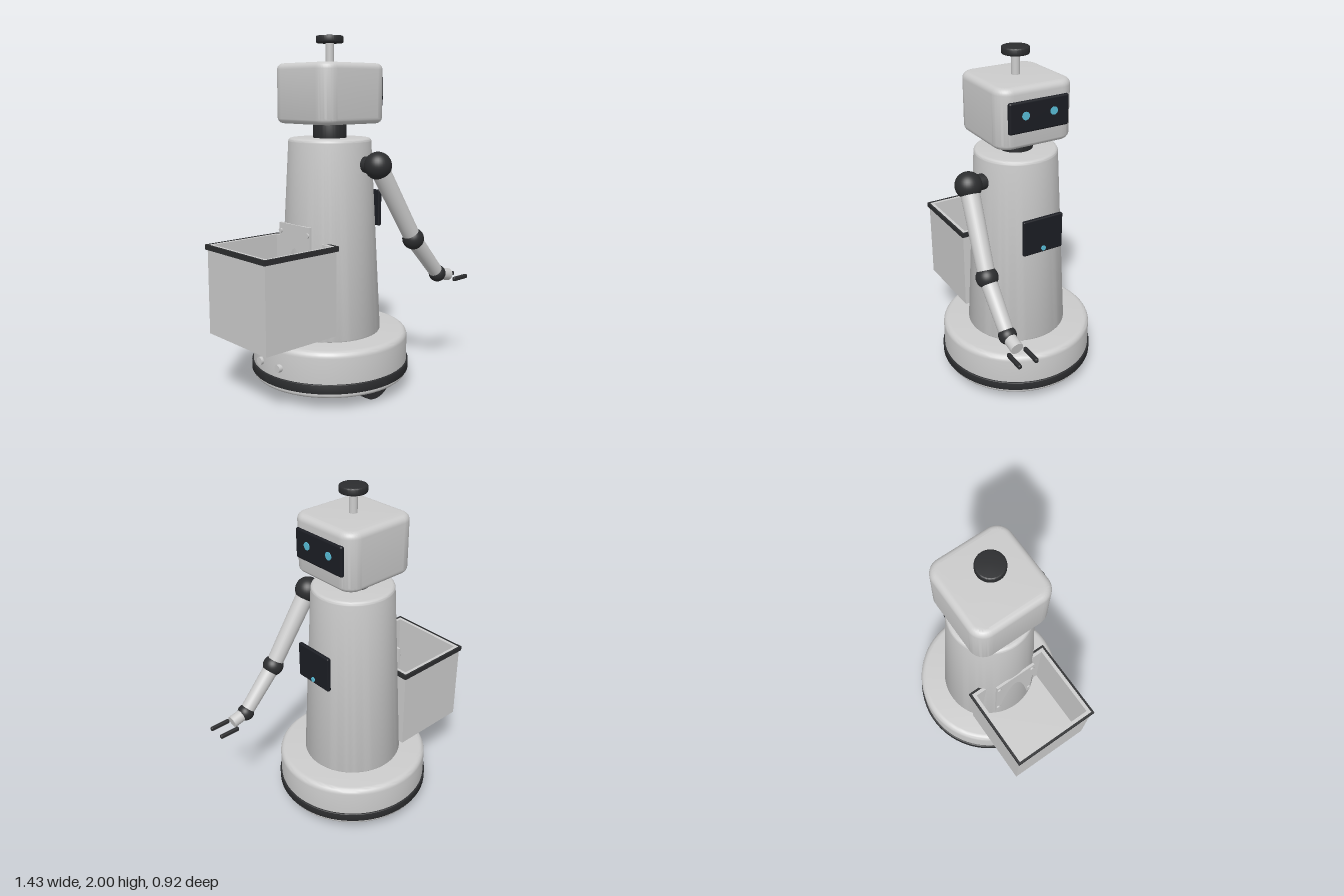
import * as THREE from 'three';
import { toCreasedNormals } from 'three/addons/utils/BufferGeometryUtils.js';
import { RoundedBoxGeometry } from 'three/addons/geometries/RoundedBoxGeometry.js';

const CX = -0.04; // vertical axis of the robot; it faces +x
const grey = new THREE.MeshStandardMaterial({ color: 0xcccccc });
const dark = new THREE.MeshStandardMaterial({ color: 0x2c2d2f });
const screen = new THREE.MeshStandardMaterial({ color: 0x1b1d23 });
const glow = new THREE.MeshStandardMaterial({ color: 0x58bcd6 });
const V = (x, y, z) => new THREE.Vector3(x, y, z);

export function createModel() {
  const model = new THREE.Group();
  model.name = 'serviceRobot';

  function add(name, geometry, material, x = 0, y = 0, z = 0, parent = model) {
    const mesh = new THREE.Mesh(geometry, material);
    mesh.name = name;
    mesh.position.set(x, y, z);
    parent.add(mesh);
    return mesh;
  }
  const box = (name, mat, x0, x1, y0, y1, z0, z1, parent) =>
    add(name, new THREE.BoxGeometry(x1 - x0, y1 - y0, z1 - z0), mat,
      (x0 + x1) / 2, (y0 + y1) / 2, (z0 + z1) / 2, parent);
  const ball = (name, r, mat, x, y, z, parent) =>
    add(name, new THREE.SphereGeometry(r, 32, 20), mat, x, y, z, parent);

  // Cylinder running from point a to point b
  function rod(name, a, b, ra, rb, mat, parent) {
    const dir = b.clone().sub(a);
    const mid = a.clone().add(b).multiplyScalar(0.5);
    const mesh = add(name, new THREE.CylinderGeometry(rb, ra, dir.length(), 32), mat, mid.x, mid.y, mid.z, parent);
    mesh.quaternion.setFromUnitVectors(V(0, 1, 0), dir.normalize());
    return mesh;
  }

  // Solid of revolution with rounded top and bottom rims
  function drum(name, mat, y0, r0, y1, r1, roundBottom, roundTop) {
    const pts = [new THREE.Vector2(0, y0)];
    for (let i = 0; i <= 6; i++) {
      const a = (i / 6) * Math.PI / 2;
      pts.push(new THREE.Vector2(r0 - roundBottom * (1 - Math.sin(a)), y0 + roundBottom * (1 - Math.cos(a))));
    }
    for (let i = 0; i <= 6; i++) {
      const a = (i / 6) * Math.PI / 2;
      pts.push(new THREE.Vector2(r1 - roundTop * (1 - Math.cos(a)), y1 - roundTop * (1 - Math.sin(a))));
    }
    pts.push(new THREE.Vector2(0, y1));
    return add(name, toCreasedNormals(new THREE.LatheGeometry(pts, 80), 0.6), mat, CX);
  }

  // Base, bumper, tower and neck
  drum('base', grey, 0.07, 0.45, 0.33, 0.45, 0.02, 0.035);
  drum('bumper', dark, 0.1, 0.46, 0.152, 0.46, 0.004, 0.004);
  drum('tower', grey, 0.325, 0.293, 1.44, 0.235, 0.012, 0.02);
  drum('neck', dark, 1.42, 0.095, 1.54, 0.095, 0.002, 0.002);

  // Drive wheels, casters and charging contacts
  for (const s of [-1, 1]) {
    rod('driveWheel', V(CX, 0.13, s * 0.303), V(CX, 0.13, s * 0.38), 0.13, 0.13, dark);
    ball('caster', 0.035, dark, CX + s * 0.285, 0.035, 0);
    rod('chargingContact', V(-0.47, 0.21, s * 0.08), V(-0.502, 0.21, s * 0.08), 0.022, 0.022, grey);
  }

  // Head: rounded square plan with softened top and bottom edges
  const bevel = 0.035, hw = 0.235 - bevel, hd = 0.23 - bevel, cr = 0.05;
  const plan = new THREE.Shape();
  plan.absarc(hw - cr, hd - cr, cr, 0, Math.PI / 2);
  plan.absarc(-hw + cr, hd - cr, cr, Math.PI / 2, Math.PI);
  plan.absarc(-hw + cr, -hd + cr, cr, Math.PI, Math.PI * 1.5);
  plan.absarc(hw - cr, -hd + cr, cr, Math.PI * 1.5, Math.PI * 2);
  plan.closePath();
  const headGeo = new THREE.ExtrudeGeometry(plan, {
    depth: 0.33 - 2 * bevel, bevelThickness: bevel, bevelSize: bevel, bevelSegments: 6, curveSegments: 10,
  });
  headGeo.rotateX(-Math.PI / 2);
  add('head', toCreasedNormals(headGeo, 0.6), grey, CX, 1.52 + bevel, 0);

  // Face screen and eyes
  add('faceScreen', new RoundedBoxGeometry(0.03, 0.17, 0.36, 3, 0.012), screen, 0.193, 1.697, 0);
  for (const s of [-1, 1])
    rod('eye', V(0.2, 1.705, s * 0.085), V(0.212, 1.705, s * 0.085), 0.022, 0.022, glow);

  // Top sensor
  rod('sensorStem', V(CX, 1.84, 0), V(CX, 1.97, 0), 0.023, 0.023, grey);
  drum('sensorCap', dark, 1.96, 0.076, 2.0, 0.076, 0.008, 0.008);

  // Chest tablet with its mount and button
  box('tabletMount', dark, 0.18, 0.245, 0.97, 1.07, -0.05, 0.05);
  add('chestTablet', new RoundedBoxGeometry(0.024, 0.212, 0.25, 3, 0.008), screen, 0.248, 1.02, 0);
  rod('tabletButton', V(0.25, 0.94, 0), V(0.266, 0.94, 0), 0.014, 0.014, glow);

  // Arm
  const arm = new THREE.Group();
  arm.name = 'arm';
  model.add(arm);
  const shoulder = V(0.015, 1.3, 0.327), elbow = V(0.272, 0.868, 0.363);
  const wrist = V(0.492, 0.628, 0.365), palmEnd = V(0.592, 0.604, 0.365);
  rod('shoulderAxle', V(0.005, 1.3, 0.2), shoulder, 0.045, 0.045, dark, arm);
  ball('shoulderJoint', 0.076, dark, ...shoulder, arm);
  rod('upperArm', shoulder, elbow, 0.054, 0.048, grey, arm);
  ball('elbowJoint', 0.062, dark, ...elbow, arm);
  rod('forearm', elbow, wrist, 0.047, 0.041, grey, arm);
  ball('wristJoint', 0.05, dark, ...wrist, arm);
  rod('palm', wrist, palmEnd, 0.036, 0.036, grey, arm);
  for (const s of [-1, 1])
    add('finger', new RoundedBoxGeometry(0.127, 0.026, 0.022, 3, 0.009), dark, 0.647, 0.583, 0.365 + s * 0.05, arm);

  // Open bin on the back, with a dark rim
  const bin = new THREE.Group();
  bin.name = 'bin';
  model.add(bin);
  const rectPath = (Type, x0, x1, z0, z1) =>
    new Type([[x0, z0], [x1, z0], [x1, z1], [x0, z1]].map(([x, z]) => new THREE.Vector2(x, z)));
  function frame(name, mat, inset, outset, y0, y1) {
    const shape = rectPath(THREE.Shape, -0.705 - outset, -0.225 + outset, -0.255 - outset, 0.255 + outset);
    shape.holes.push(rectPath(THREE.Path, -0.705 + inset, -0.225 - inset, -0.255 + inset, 0.255 - inset));
    const geo = new THREE.ExtrudeGeometry(shape, { depth: y1 - y0, bevelEnabled: false });
    geo.rotateX(-Math.PI / 2);
    add(name, geo, mat, 0, y0, 0, bin);
  }
  frame('binWalls', grey, 0.022, 0, 0.375, 0.876);
  frame('binRim', dark, 0.002, 0.01, 0.85, 0.878);
  box('binFloor', grey, -0.7, -0.23, 0.376, 0.4, -0.25, 0.25, bin);

  // Mounting plate and bolts between bin and tower
  box('mountPlate', grey, -0.306, -0.292, 0.45, 0.97, -0.13, 0.13, bin);
  for (const s of [-1, 1])
    for (const y of [0.55, 0.925])
      rod('mountBolt', V(-0.3, y, s * 0.115), V(-0.314, y, s * 0.115), 0.013, 0.013, grey, bin);

  return model;
}
